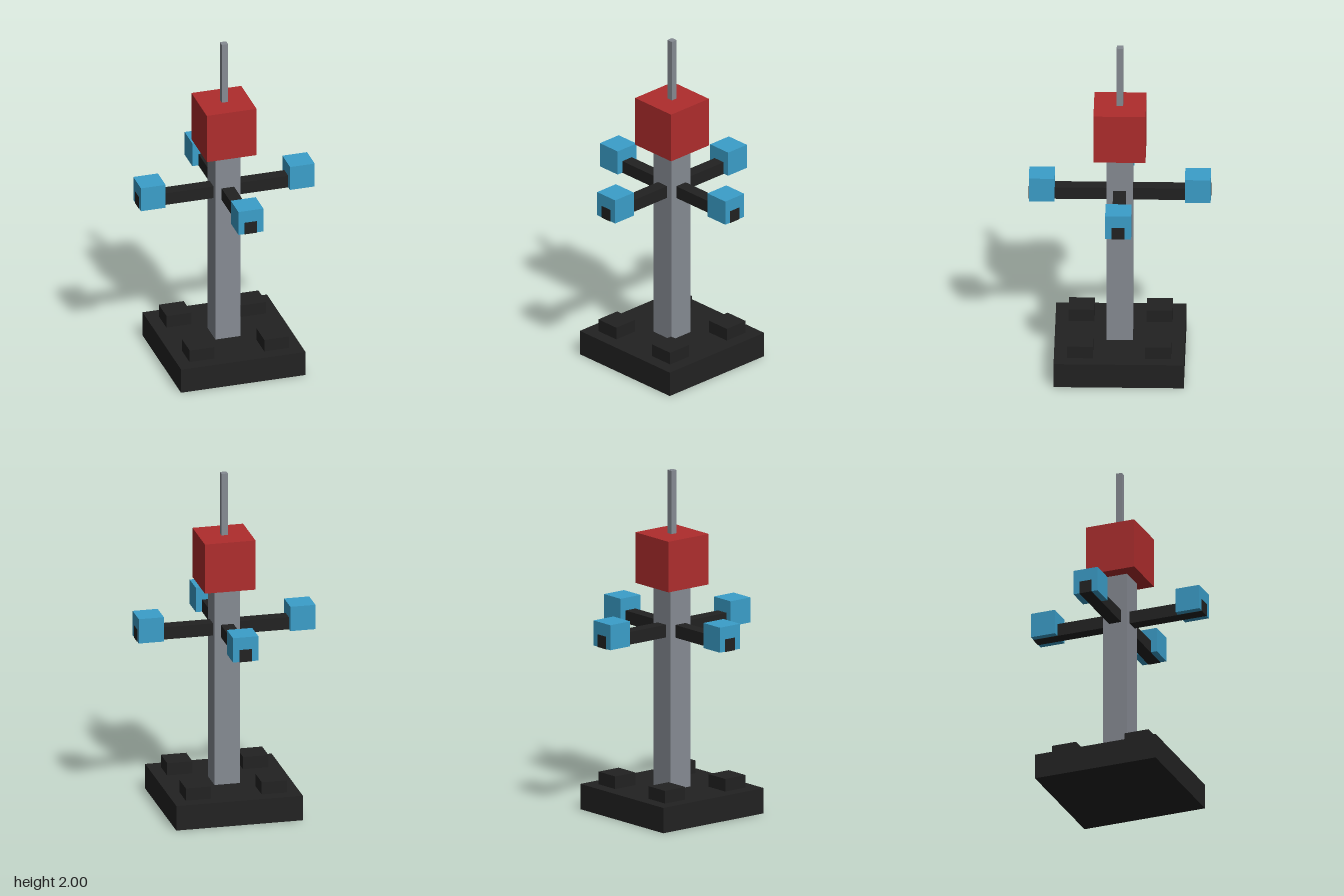
import * as THREE from 'three';

const U = 2 / 27; // block module: the model is 27 modules tall

export function createModel() {
  const mat = (name, color) => {
    const m = new THREE.MeshStandardMaterial({ color });
    m.name = name;
    return m;
  };
  const black = mat('black', 0x222222);
  const grey = mat('grey', 0x868b93);
  const red = mat('red', 0xaf2d2d);
  const blue = mat('blue', 0x3b9fca);

  const model = new THREE.Group();
  model.name = 'lampPost';

  // Box given by its size, centre x/z and bottom height, in modules
  const box = (parent, name, material, [w, h, d], x, bottom, z) => {
    const mesh = new THREE.Mesh(new THREE.BoxGeometry(w * U, h * U, d * U), material);
    mesh.name = name;
    mesh.position.set(x * U, (bottom + h / 2) * U, z * U);
    parent.add(mesh);
  };

  // Base slab with four raised studs
  box(model, 'base', black, [10, 2, 10], 0, 0, 0);
  for (const x of [-3, 3])
    for (const z of [-3, 3]) box(model, 'baseStud', black, [2, 1, 2], x, 2, z);

  // Column, head block and mast
  box(model, 'column', grey, [2, 16, 2], 0, 2, 0);
  box(model, 'head', red, [4, 4, 4], 0, 18, 0);
  box(model, 'mast', grey, [0.5, 5, 0.5], 0, 22, 0);

  // Four arms; each bar shows at the end and underside of its lamp
  const gap = 0.02;
  for (let i = 0; i < 4; i++) {
    const arm = new THREE.Group();
    arm.name = 'arm';
    arm.rotation.y = (i * Math.PI) / 2;
    box(arm, 'armBar', black, [6, 1, 1], 4, 14, 0);
    box(arm, 'lamp', blue, [2 - gap, 2 - gap, 2], 6 - gap / 2, 14 + gap, 0);
    model.add(arm);
  }
  return model;
}
